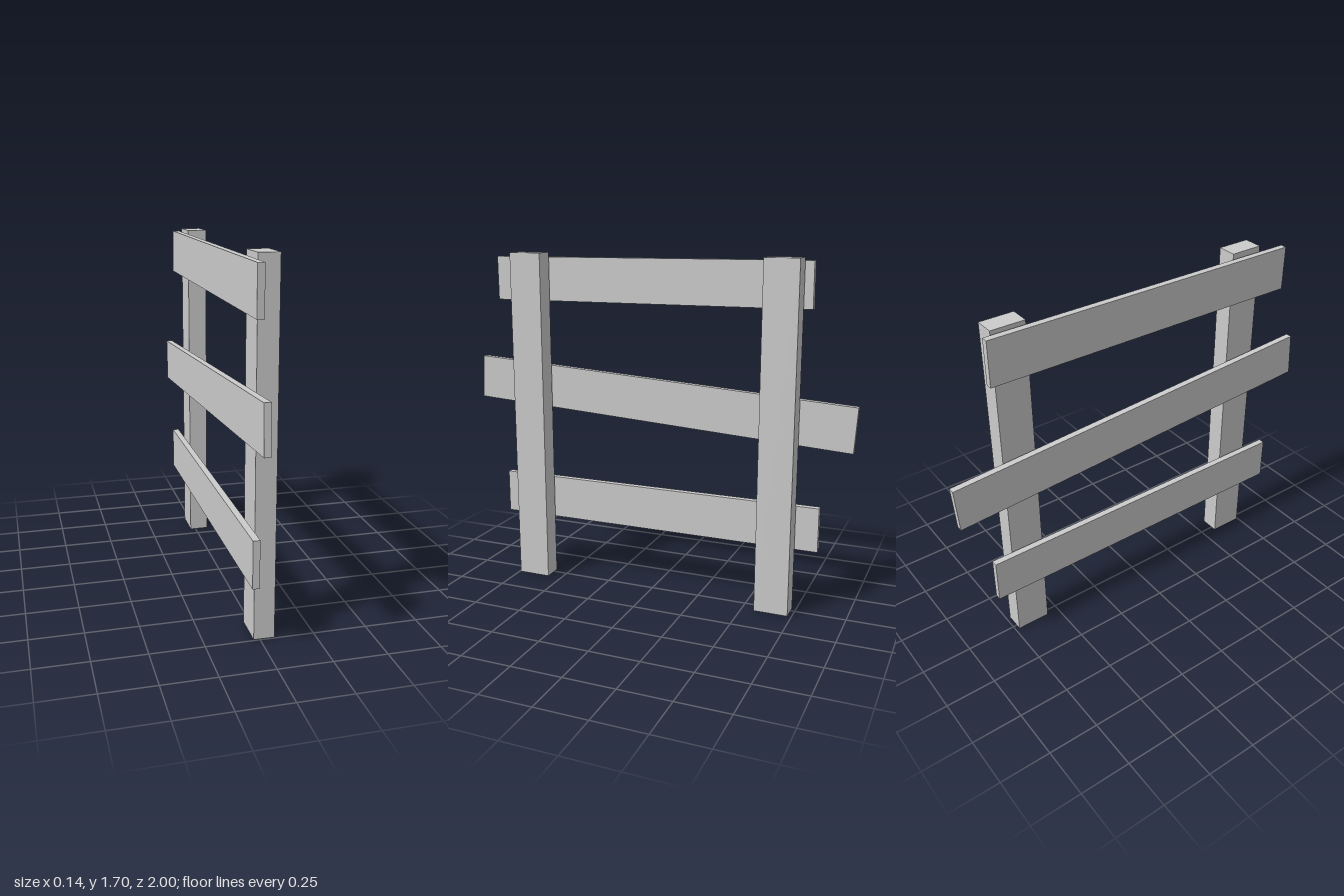
import * as THREE from 'three';

export function createModel() {
  const fence = new THREE.Group();
  fence.name = 'fence';
  const material = new THREE.MeshStandardMaterial({ color: 0xcccccc, flatShading: true });

  const addBeam = (name, [w, h, d], [x, y, z], tilt = 0) => {
    const beam = new THREE.Mesh(new THREE.BoxGeometry(w, h, d), material);
    beam.name = name;
    beam.position.set(x, y, z);
    beam.rotation.x = tilt;
    fence.add(beam);
  };

  // Upright posts
  addBeam('frontPost', [0.096, 1.7, 0.168], [0.02, 0.85, 0.659]);
  addBeam('backPost', [0.096, 1.7, 0.168], [0.02, 0.85, -0.646]);

  // Planks across the posts, the upper two nailed on crooked
  const plank = (name, length, y, z, tilt) =>
    addBeam(name, [0.032, 0.22, length], [-0.054, y, z], tilt);
  plank('topPlank', 1.65, 1.57, 0.054, 0.0067);
  plank('middlePlank', 1.99, 0.98, 0, -0.0615);
  plank('bottomPlank', 1.7, 0.415, 0.01, 0);

  return fence;
}
